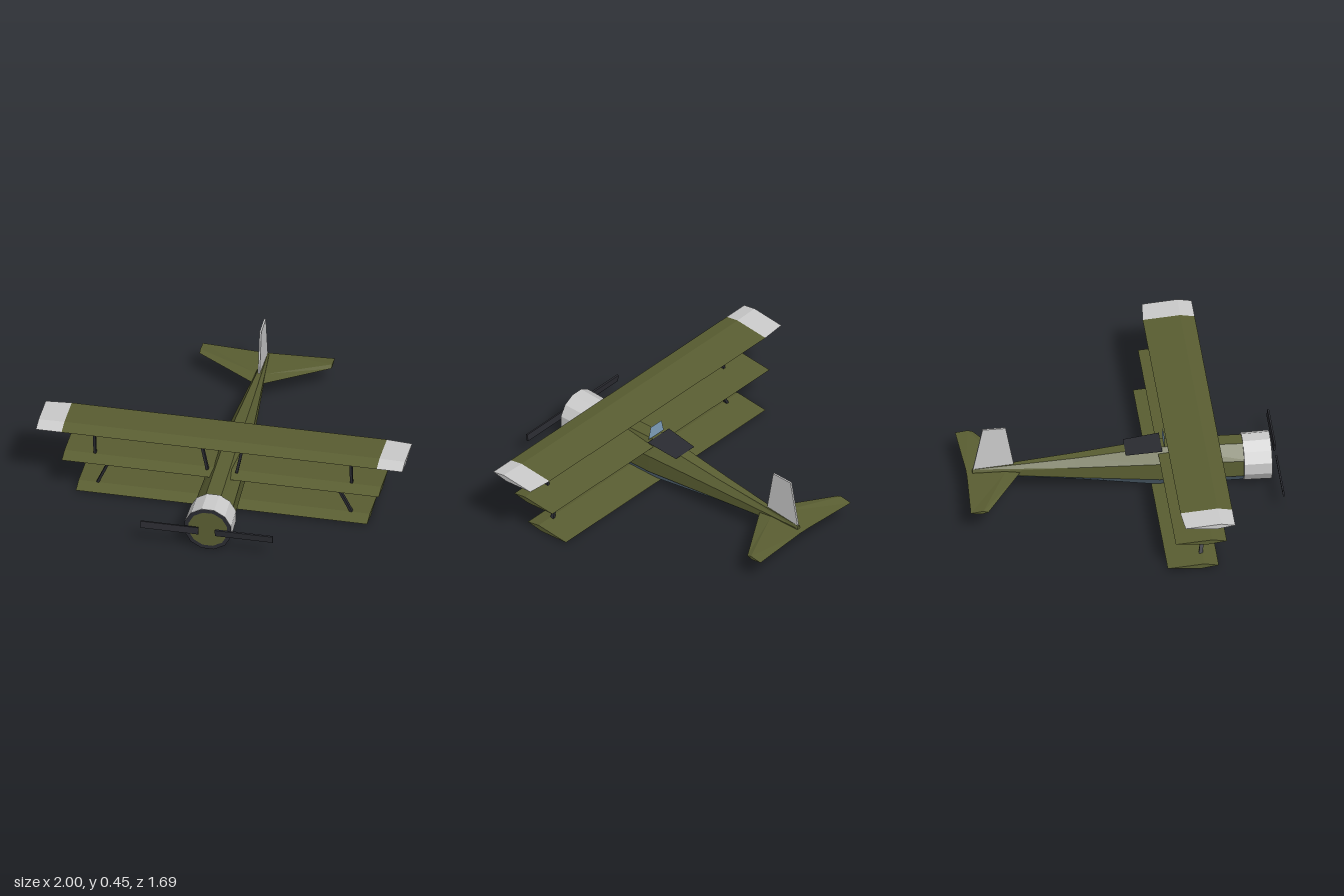
import * as THREE from 'three';

const mat = (color, side = THREE.FrontSide) => new THREE.MeshStandardMaterial({ color, side, flatShading: true });
const olive = mat(0x5a5e32), blue = mat(0x6b8294), dark = mat(0x2a2b31), grey = mat(0xcccccc);
const darkThin = mat(0x2a2b31, THREE.DoubleSide), glass = mat(0x7f9fba, THREE.DoubleSide);

// Skins a row of cross-sections, each a list of [x, y, z] points
function loft(name, sections, material) {
  const pos = [];
  for (let i = 0; i < sections.length - 1; i++) {
    for (let j = 0; j < sections[i].length - 1; j++) {
      const a = sections[i][j], b = sections[i][j + 1];
      const c = sections[i + 1][j + 1], d = sections[i + 1][j];
      pos.push(...a, ...b, ...c, ...a, ...c, ...d);
    }
  }
  const geo = new THREE.BufferGeometry();
  geo.setAttribute('position', new THREE.Float32BufferAttribute(pos, 3));
  geo.computeVertexNormals();
  const mesh = new THREE.Mesh(geo, material);
  mesh.name = name;
  return mesh;
}

// Four-sided airfoil ring at x: trailing edge, top, leading edge, bottom, trailing edge
function airfoil(x, y, lead, trail, h) {
  const chord = lead - trail, te = [x, y, trail];
  return [te, [x, y + h, lead - 0.28 * chord], [x, y, lead], [x, y - h, lead - 0.36 * chord], te];
}
const collapse = (ring) => ring.map(() => [ring[0][0], ring[0][1], (ring[0][2] + ring[2][2]) / 2]);

// Upper skin, lower skin and closed tips of a wing
function wing(name, rings, top, bottom) {
  const g = new THREE.Group(), last = rings[rings.length - 1];
  g.name = name;
  g.add(loft(name + 'Top', rings.map((r) => r.slice(0, 3)), top));
  g.add(loft(name + 'Bottom', rings.map((r) => r.slice(2)), bottom));
  g.add(loft(name + 'EndRight', [collapse(rings[0]), rings[0]], top));
  g.add(loft(name + 'EndLeft', [last, collapse(last)], top));
  return g;
}

// Slim square bar between two points
function strut(name, from, to) {
  const a = new THREE.Vector3(...from), b = new THREE.Vector3(...to);
  const mesh = new THREE.Mesh(new THREE.BoxGeometry(0.014, a.distanceTo(b), 0.02), dark);
  mesh.position.copy(a).add(b).multiplyScalar(0.5);
  mesh.quaternion.setFromUnitVectors(new THREE.Vector3(0, 1, 0), b.sub(a).normalize());
  mesh.name = name;
  return mesh;
}

export function createModel() {
  const model = new THREE.Group();
  model.name = 'triplane';
  const add = (mesh, name, x = 0, y = 0, z = 0) => {
    mesh.name = name;
    mesh.position.set(x, y, z);
    model.add(mesh);
    return mesh;
  };

  // Fuselage: z, top half-width, side half-width, top, upper side, lower side, bottom
  const body = [
    [-0.8, 0.005, 0.01, 0.18, 0.165, 0.153, 0.145],
    [-0.25, 0.025, 0.055, 0.222, 0.18, 0.115, 0.085],
    [0.2, 0.038, 0.092, 0.267, 0.19, 0.088, 0.018],
    [0.7, 0.042, 0.106, 0.252, 0.18, 0.083, 0.014],
  ];
  const upper = body.map(([z, t, w, top, u, l]) =>
    [[w, l, z], [w, u, z], [t, top, z], [-t, top, z], [-w, u, z], [-w, l, z]]);
  const lower = body.map(([z, t, w, , , l, bot]) => [[-w, l, z], [-t, bot, z], [t, bot, z], [w, l, z]]);
  const ring = [...upper[0], ...lower[0].slice(1)];
  model.add(loft('fuselageTop', upper, olive), loft('fuselageBottom', lower, blue));
  model.add(loft('fuselageEnd', [ring.map(() => [0, 0.16, -0.8]), ring], olive));

  // Engine cowl with dark lip and flat face
  const turn = Math.PI / 12;
  const cowl = new THREE.CylinderGeometry(0.131, 0.128, 0.15, 12).rotateY(turn).rotateX(Math.PI / 2);
  add(new THREE.Mesh(cowl, grey), 'cowl', 0, 0.138, 0.728);
  add(new THREE.Mesh(new THREE.RingGeometry(0.108, 0.131, 12, 1, turn), dark), 'cowlLip', 0, 0.138, 0.805);
  add(new THREE.Mesh(new THREE.CircleGeometry(0.109, 12, turn), olive), 'cowlFace', 0, 0.138, 0.805);

  // Three stacked wings, the top one with pale tips
  model.add(wing('lowerWing', [-0.795, 0.795].map((x) => airfoil(x, 0.025, 0.435, 0.16, 0.015)), olive, blue));
  model.add(wing('middleWing', [-0.865, 0.865].map((x) => airfoil(x, 0.237, 0.47, 0.195, 0.014)), olive, blue));
  const topRing = (x) => airfoil(x, 0.441, 0.5, Math.abs(x) > 0.9 ? 0.232 : 0.22, 0.015);
  model.add(wing('upperWing', [-0.86, 0.86].map(topRing), olive, blue));
  model.add(wing('upperWingTipRight', [-1, -0.86].map(topRing), grey, grey));
  model.add(wing('upperWingTipLeft', [0.86, 1].map(topRing), grey, grey));

  // Tailplane and fin
  const tail = [[-0.36, -0.755, -0.85], [-0.03, -0.545, -0.832], [0.03, -0.545, -0.832], [0.36, -0.755, -0.85]];
  model.add(wing('tailplane', tail.map(([x, le, te]) => airfoil(x, 0.157, le, te, 0.009)), olive, blue));
  const finShape = new THREE.Shape([[0.57, 0.16], [0.8, 0.16], [0.745, 0.44], [0.62, 0.44]]
    .map((p) => new THREE.Vector2(...p)));
  const fin = new THREE.ExtrudeGeometry(finShape, { depth: 0.01, bevelEnabled: false });
  add(new THREE.Mesh(fin.translate(0, 0, -0.005).rotateY(Math.PI / 2), grey), 'fin');

  // Cockpit panel and windshield
  model.add(loft('cockpit', [
    [[0.073, 0.252, 0.02], [-0.073, 0.252, 0.02]],
    [[0.085, 0.27, 0.215], [-0.085, 0.27, 0.215]],
  ], darkThin));
  model.add(loft('windshield', [
    [[-0.06, 0.268, 0.23], [0.06, 0.268, 0.23]],
    [[-0.043, 0.34, 0.23], [0.043, 0.34, 0.23]],
  ], glass));

  // Struts and propeller blades, mirrored
  for (const s of [-1, 1]) {
    model.add(strut('outerUpperStrut', [s * 0.7, 0.24, 0.38], [s * 0.7, 0.44, 0.41]));
    model.add(strut('outerLowerStrut', [s * 0.695, 0.03, 0.348], [s * 0.61, 0.235, 0.38]));
    model.add(strut('cabaneStrut', [s * 0.08, 0.255, 0.418], [s * 0.117, 0.44, 0.418]));
    const blade = add(new THREE.Mesh(new THREE.BoxGeometry(0.316, 0.04, 0.01), dark),
      'propellerBlade', s * 0.203, 0.143, 0.835);
    blade.rotation.x = s * 0.12;
  }
  return model;
}
